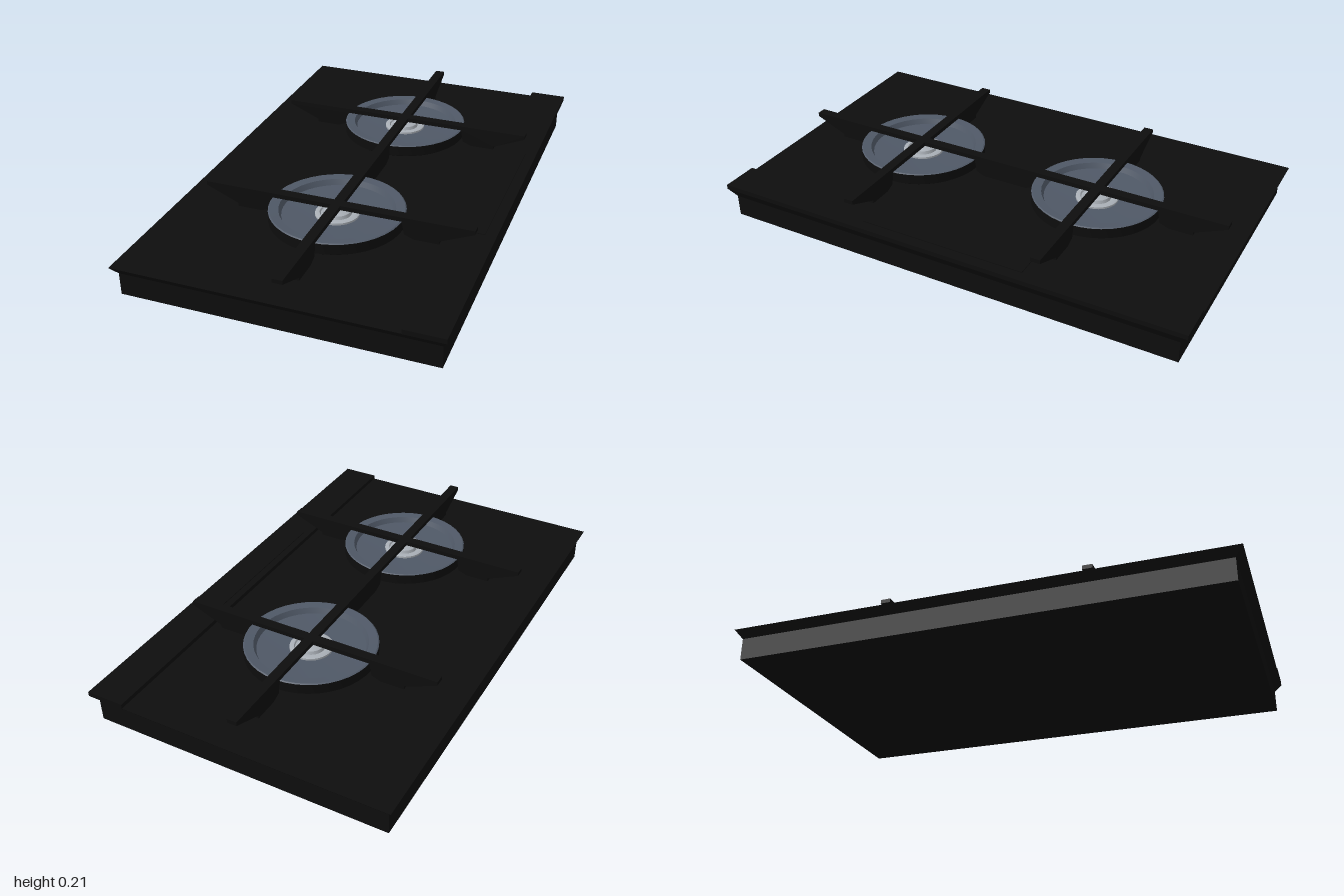
import * as THREE from 'three';
import { toCreasedNormals } from 'three/addons/utils/BufferGeometryUtils.js';

const mat = (name, color) => {
  const m = new THREE.MeshStandardMaterial({ color });
  m.name = name;
  return m;
};

export function createModel() {
  const black = mat('black enamel', 0x0d0d0d);
  const slate = mat('slate metal', 0x4f5866);
  const silver = mat('silver metal', 0xa9afb6);
  const model = new THREE.Group();
  model.name = 'twoBurnerHob';

  const add = (parent, name, geometry, material, x = 0, y = 0, z = 0) => {
    const mesh = new THREE.Mesh(geometry, material);
    mesh.name = name;
    mesh.position.set(x, y, z);
    parent.add(mesh);
    return mesh;
  };
  const lathe = (points) => toCreasedNormals(
    new THREE.LatheGeometry(points.map(([r, y]) => new THREE.Vector2(r, y)), 40), 0.5);

  // Base box with a flared rim that carries the deck
  add(model, 'base', new THREE.BoxGeometry(1.22, 0.09, 1.94), black, 0, 0.045, 0);
  const flare = new THREE.BoxGeometry(1.26, 0.037, 2);
  const p = flare.attributes.position;
  for (let i = 0; i < p.count; i++) {
    if (p.getY(i) < 0) p.setXYZ(i, Math.sign(p.getX(i)) * 0.61, p.getY(i), Math.sign(p.getZ(i)) * 0.97);
  }
  flare.computeVertexNormals();
  add(model, 'deck', flare, black, 0, 0.1085, 0);

  // Raised control strip along the left edge, with a thin touch panel
  add(model, 'controlStrip', new THREE.BoxGeometry(0.155, 0.019, 2), black, 0.5525, 0.1355, 0);
  add(model, 'touchPanel', new THREE.BoxGeometry(0.08, 0.004, 0.7), black, 0.545, 0.146, 0);

  // Grate bar outline: thin bridge over the burner, two feet, tapered tips
  const half = [[0.265, 0.195], [0.275, 0.142], [0.315, 0.126], [0.413, 0.126],
    [0.413, 0.14], [0.547, 0.197], [0.547, 0.213]];
  const outline = [...half, ...half.map(([x, y]) => [-x, y]).reverse()];
  const bar = new THREE.ExtrudeGeometry(
    new THREE.Shape(outline.map(([x, y]) => new THREE.Vector2(x, y))),
    { depth: 0.04, bevelEnabled: false });
  bar.translate(0, 0, -0.02);

  // Burner profiles, each running from underside to top and inwards
  const shell = lathe([[0, 0.143], [0.255, 0.143], [0.265, 0.15], [0.265, 0.192]]);
  const bowl = lathe([[0.265, 0.192], [0.26, 0.195], [0.225, 0.192], [0.215, 0.17],
    [0.1, 0.164], [0, 0.164]]);
  const cap = lathe([[0.086, 0.163], [0.086, 0.172], [0.078, 0.175], [0.068, 0.175],
    [0.064, 0.169], [0.056, 0.169], [0.052, 0.182], [0.044, 0.186], [0, 0.188]]);

  for (const [name, z] of [['front', 0.425], ['back', -0.395]]) {
    const burner = new THREE.Group();
    burner.name = name + 'Burner';
    burner.position.set(0.023, 0, z);
    add(burner, 'bowlShell', shell, black);
    add(burner, 'bowl', bowl, slate);
    add(burner, 'burnerCap', cap, silver);
    add(burner, 'crossBar', bar, black);
    add(burner, 'longBar', bar, black).rotation.y = Math.PI / 2;
    model.add(burner);
  }
  return model;
}
